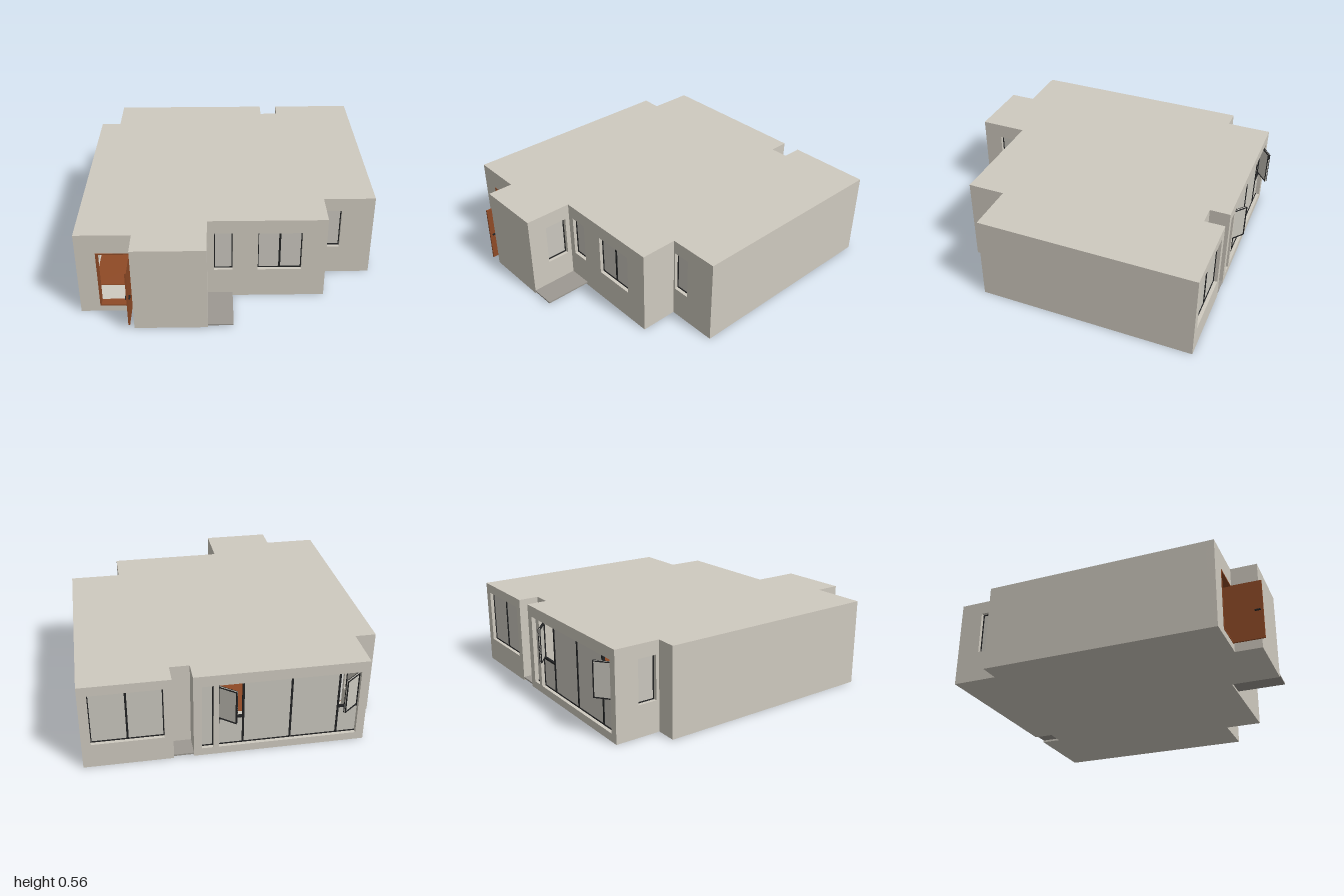
import * as THREE from 'three';

const mat = (name, color, side = THREE.FrontSide) => {
  const m = new THREE.MeshStandardMaterial({ color, side });
  m.name = name;
  return m;
};

// Plan corners (x, z), walked so that outside is on the right-hand side
const PLAN = [
  [-0.92, 0.81], [-0.58, 0.81], [-0.58, 0.975], [-0.14, 0.975], [-0.14, 0.67], [0.59, 0.67],
  [0.59, 0.43], [0.915, 0.43], [0.915, -0.95], [0.38, -0.95], [0.38, -0.82], [0.26, -0.82],
  [0.26, -0.95], [-0.79, -0.95], [-0.79, -0.66], [-0.92, -0.66],
];
const T = 0.05, FLOOR = 0.035, CEILING = 0.52, TOP = 0.56, RECESS = -0.03;

export function createModel() {
  const plaster = mat('plaster', 0xcfcabf);
  const paving = mat('paving', 0x9d9992);
  const pane = mat('window pane', 0xcac7be);
  const dark = mat('dark frame', 0x222324);
  const wood = mat('wood', 0x8f4a26);
  const white = mat('white paint', 0xf0efec);
  const house = new THREE.Group();
  house.name = 'house';

  const add = (parent, name, geometry, material, x = 0, y = 0, z = 0) => {
    const m = new THREE.Mesh(geometry, material);
    m.name = name;
    m.position.set(x, y, z);
    parent.add(m);
    return m;
  };
  // Box given by its lower and upper corners
  const box = (parent, name, material, x0, x1, y0, y1, z0, z1) =>
    add(parent, name, new THREE.BoxGeometry(x1 - x0, y1 - y0, z1 - z0), material,
      (x0 + x1) / 2, (y0 + y1) / 2, (z0 + z1) / 2);

  // Horizontal slab with the outline of the plan
  const slab = (name, y0, y1) => {
    const shape = new THREE.Shape(PLAN.map(([x, z]) => new THREE.Vector2(x, -z)));
    const geo = new THREE.ExtrudeGeometry(shape, { depth: y1 - y0, bevelEnabled: false });
    add(house, name, geo.rotateX(-Math.PI / 2), plaster, 0, y0, 0);
  };
  slab('floorSlab', 0, FLOOR);
  slab('roofSlab', CEILING, TOP);

  // Four thin bars around a rectangle
  const frame = (parent, name, material, a, b, y0, y1, z, w, d) => {
    box(parent, name, material, a, a + w, y0, y1, z - d, z + d);
    box(parent, name, material, b - w, b, y0, y1, z - d, z + d);
    box(parent, name, material, a + w, b - w, y0, y0 + w, z - d, z + d);
    box(parent, name, material, a + w, b - w, y1 - w, y1, z - d, z + d);
  };
  const glazing = (parent, name, a, b, y0, y1, z = RECESS) => {
    const g = new THREE.Group();
    g.name = name;
    box(g, 'pane', pane, a, b, y0, y1, z - 0.003, z + 0.003);
    frame(g, 'paneFrame', dark, a, b, y0, y1, z, 0.006, 0.008);
    parent.add(g);
  };

  // Openings for each wall: start, end, bottom, top, and the dividing lines
  const openings = {
    0: [{ r: [0.12, 0.32, 0.042, 0.432], door: true }],
    3: [{ r: [0.125, 0.275, 0.195, 0.462] }],
    4: [{ r: [0.04, 0.155, 0.2, 0.472] }, { r: [0.31, 0.58, 0.2, 0.468], split: [0.445] }],
    6: [{ r: [0.01, 0.12, 0.2, 0.472] }],
    8: [{ r: [0.055, 0.485, 0.16, 0.5], split: [0.27] }],
    12: [{ r: [0.02, 0.12, 0.05, 0.49] },
      { r: [0.15, 1.01, 0.05, 0.49], split: [0.3, 0.59, 0.88], casements: true }],
    13: [{ r: [0.15, 0.27, 0.2, 0.475] }],
  };

  PLAN.forEach(([x0, z0], i) => {
    const [x1, z1] = PLAN[(i + 1) % PLAN.length];
    const length = Math.hypot(x1 - x0, z1 - z0);
    const wall = new THREE.Group();
    wall.name = 'wall' + (i + 1);
    wall.position.set(x0, 0, z0);
    wall.rotation.y = Math.atan2(z0 - z1, x1 - x0);
    house.add(wall);

    const rect = (Type, a, b, y0, y1) => new Type([[a, y0], [b, y0], [b, y1], [a, y1]]
      .map(p => new THREE.Vector2(...p)));
    const shape = rect(THREE.Shape, 0, length, FLOOR, CEILING);
    for (const o of openings[i] || []) {
      const [a, b, y0, y1] = o.r;
      shape.holes.push(rect(THREE.Path, a, b, y0, y1));
      if (o.door) {
        frame(wall, 'doorFrame', wood, a, b, y0, y1, -T / 2, 0.008, T / 2 + 0.003);
        continue;
      }
      const stops = [a, ...(o.split || []), b];
      for (let k = 0; k + 1 < stops.length; k++) {
        const end = k === 0 || k === stops.length - 2;
        const s0 = stops[k], s1 = stops[k + 1];
        if (!(o.casements && end)) {
          glazing(wall, 'window', s0, s1, y0, y1);
          continue;
        }
        // Fixed lower light with an opened casement above it
        glazing(wall, 'lowerLight', s0, s1, y0, 0.24);
        frame(wall, 'casementFrame', dark, s0, s1, 0.24, y1, RECESS, 0.006, 0.008);
        const sash = new THREE.Group();
        sash.name = 'openCasement';
        const dir = k === 0 ? 1 : -1;
        sash.position.set(k === 0 ? s0 : s1 - 0.015, 0, RECESS);
        sash.rotation.y = Math.atan2(-0.078, dir * 0.098);
        glazing(sash, 'casementLight', 0, 0.125, 0.245, 0.467, 0);
        wall.add(sash);
      }
    }
    add(wall, 'wallPanel', new THREE.ExtrudeGeometry(shape, { depth: T, bevelEnabled: false }),
      plaster, 0, 0, -T);
  });

  // Open front door with a handle
  box(house, 'frontDoor', wood, -0.611, -0.601, 0.045, 0.425, 0.81, 1);
  for (const x of [-0.616, -0.596])
    box(house, 'doorHandle', dark, x - 0.005, x + 0.005, 0.225, 0.232, 0.95, 0.985);

  // Paving in the entrance corner and the back niche
  box(house, 'porch', paving, -0.14, 0.015, 0.014, 0.024, 0.67, 0.975);
  box(house, 'nichePaving', paving, 0.26, 0.38, 0.014, 0.024, -0.95, -0.82);

  // Interior seen through the door and the open casements
  box(house, 'innerPartition', white, -0.87, -0.75, FLOOR, CEILING, -0.6, -0.57);
  box(house, 'woodFloor', wood, -0.86, 0.5, FLOOR, FLOOR + 0.004, -0.6, 0.6);
  box(house, 'cabinet', wood, -0.66, -0.5, 0.1, 0.21, -0.5, -0.35);
  box(house, 'cabinetBase', white, -0.66, -0.5, 0.039, 0.1, -0.5, -0.35);
  box(house, 'chairSeat', dark, -0.73, -0.67, 0.11, 0.12, -0.36, -0.3);
  box(house, 'chairBack', dark, -0.73, -0.67, 0.12, 0.22, -0.37, -0.36);
  for (const x of [-0.725, -0.675]) for (const z of [-0.355, -0.305])
    box(house, 'chairLeg', dark, x - 0.004, x + 0.004, 0.039, 0.11, z - 0.004, z + 0.004);
  const lamp = add(house, 'pendantLamp', new THREE.SphereGeometry(0.036, 20, 12), wood, -0.675, 0.335, -0.3);
  lamp.scale.y = 0.5;
  add(house, 'lampCord', new THREE.CylinderGeometry(0.002, 0.002, 0.17, 6), dark, -0.675, 0.435, -0.3);

  return house;
}
